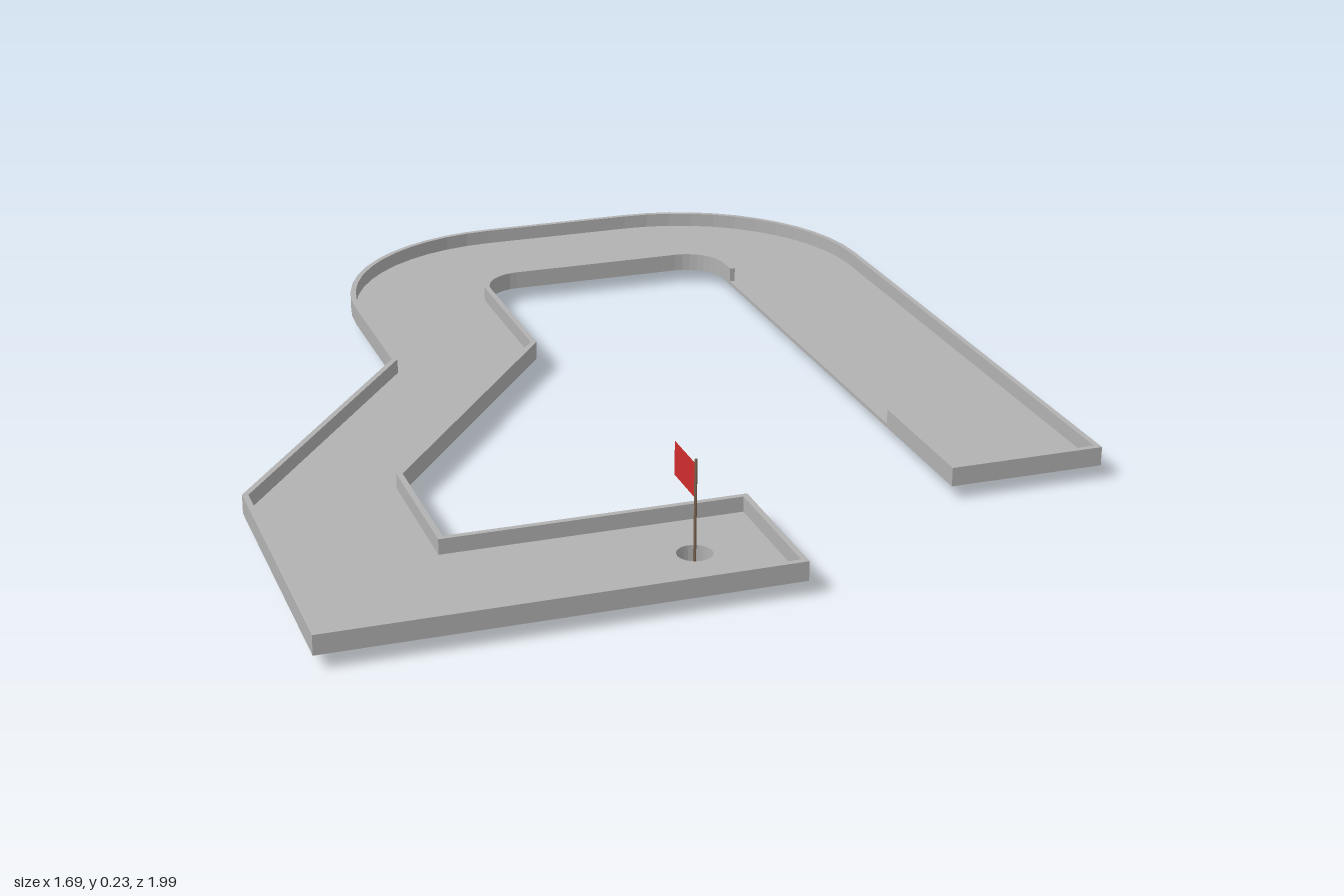
import * as THREE from 'three';

const FLOOR_Y = 0.03, FLOOR_T = 0.008, TOP_Y = 0.07, WALL = 0.012;
const HOLE = { x: -0.08, z: 0.83, r: 0.038 };

// points along a circular corner, angles in degrees
function arc(cx, cy, r, from, to, n) {
  return Array.from({ length: n + 1 }, (_, i) => {
    const a = THREE.MathUtils.degToRad(from + (to - from) * i / n);
    return new THREE.Vector2(cx + r * Math.cos(a), cy + r * Math.sin(a));
  });
}
const v = (x, y) => new THREE.Vector2(x, y);

// shift an open path to its left with mitred corners
function offset(path, d) {
  return path.map((p, i) => {
    const a = path[Math.max(i - 1, 0)], b = path[Math.min(i + 1, path.length - 1)];
    const d1 = (i > 0 ? p.clone().sub(a) : b.clone().sub(p)).normalize();
    const d2 = (i < path.length - 1 ? b.clone().sub(p) : d1.clone()).normalize();
    const n1 = v(-d1.y, d1.x), n2 = v(-d2.y, d2.x);
    const m = n1.clone().add(n2);
    return p.clone().addScaledVector(m, d / (1 + n1.dot(n2)));
  });
}

// lay an extruded plan (x, -z) flat between two heights
function slab(shape, y0, y1) {
  return new THREE.ExtrudeGeometry(shape, { depth: y1 - y0, bevelEnabled: false, curveSegments: 24 })
    .rotateX(-Math.PI / 2).translate(0, y0, 0);
}

export function createModel() {
  const group = new THREE.Group();
  const material = (name, color, side = THREE.FrontSide) =>
    Object.assign(new THREE.MeshStandardMaterial({ color, side }), { name });
  const grey = material('course grey', 0xb2b2b2);
  const red = material('flag red', 0xd02c2c, THREE.DoubleSide);
  const brown = material('pole brown', 0x7a6450);
  const add = (name, geometry, mat) => {
    const mesh = new THREE.Mesh(geometry, mat);
    mesh.name = name;
    group.add(mesh);
    return mesh;
  };

  // course outline, open along the inner edge of the first straight
  const path = [
    v(0.515, -0.375), v(0.515, -0.69), v(0.845, -0.69),
    ...arc(0.405, 0.56, 0.44, 0, 90, 12),
    ...arc(0.045, 0.56, 0.44, 90, 180, 12),
    v(-0.395, 0.225), v(-0.845, -0.375), v(-0.845, -0.99),
    v(0.085, -0.99), v(0.085, -0.675), v(-0.525, -0.675),
    v(-0.525, -0.375), v(-0.065, 0.225),
    ...arc(0.025, 0.585, 0.09, 180, 90, 8),
    ...arc(0.425, 0.585, 0.09, 90, 0, 8),
    v(0.515, 0.54),
  ];

  // floor with the hole cut out
  const floor = new THREE.Shape(path);
  floor.holes.push(new THREE.Path().absarc(HOLE.x, -HOLE.z, HOLE.r - 0.003, 0, Math.PI * 2, true));
  add('courseFloor', slab(floor, FLOOR_Y, FLOOR_Y + FLOOR_T), grey);

  // border wall
  const wall = new THREE.Shape([...path, ...offset(path, WALL).reverse()]);
  add('borderWall', slab(wall, FLOOR_Y + FLOOR_T, TOP_Y), grey);

  // cup under the hole: outside, rim and inside
  const cupProfile = [
    v(0, 0), v(HOLE.r, 0), v(HOLE.r, 0), v(HOLE.r, FLOOR_Y),
    v(HOLE.r - 0.003, FLOOR_Y), v(HOLE.r - 0.003, 0.003), v(0, 0.003),
  ];
  const cup = new THREE.LatheGeometry(cupProfile, 24).toNonIndexed();
  cup.computeVertexNormals();
  add('holeCup', cup, grey).position.set(HOLE.x, 0, HOLE.z);

  // flagpole and flag
  add('flagPole', new THREE.CylinderGeometry(0.003, 0.003, 0.227, 8), brown)
    .position.set(HOLE.x, 0.1165, HOLE.z);
  add('flag', new THREE.PlaneGeometry(0.115, 0.07).rotateY(Math.PI / 2), red)
    .position.set(HOLE.x, 0.185, HOLE.z - 0.0575);

  return group;
}
